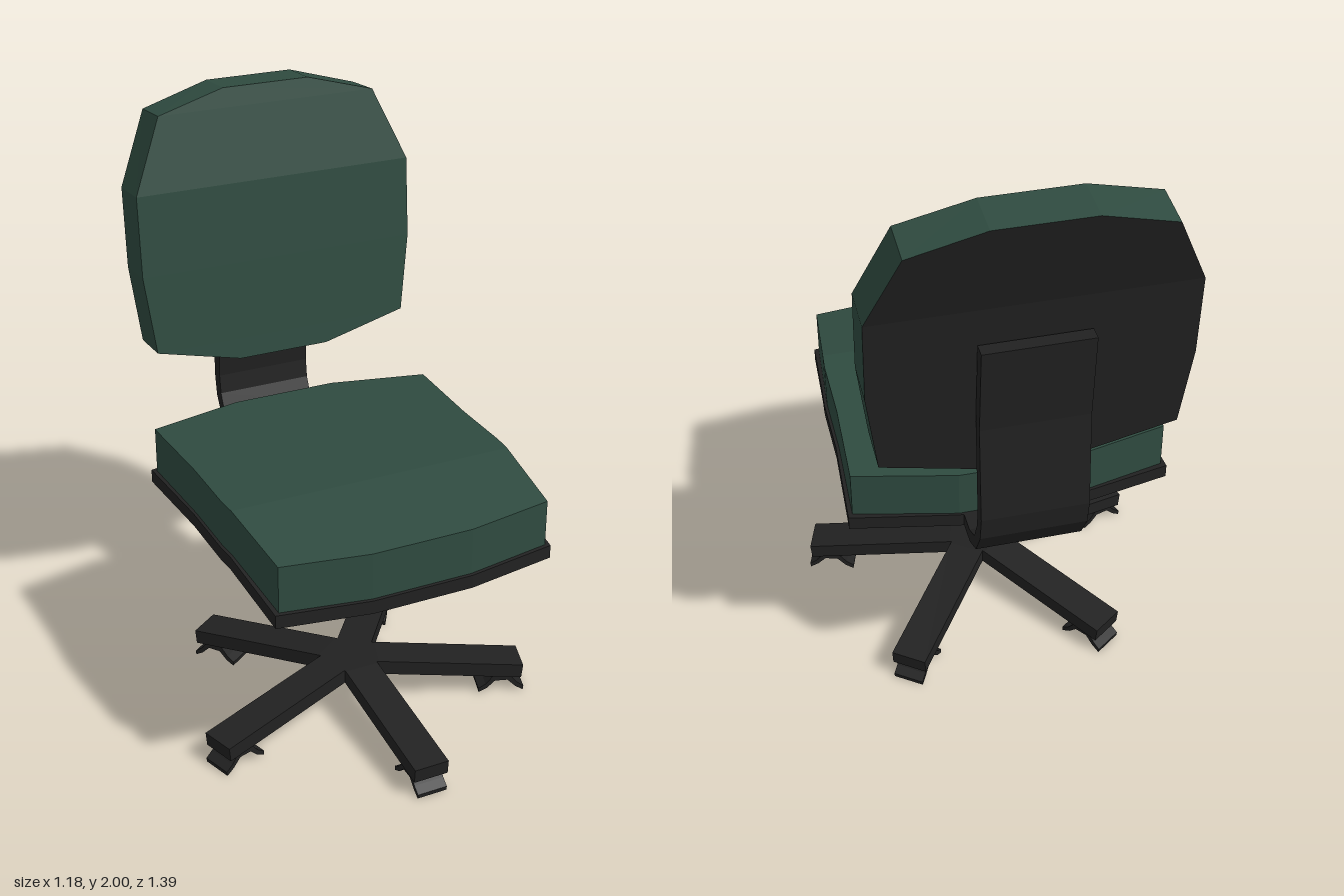
import * as THREE from 'three';

const green = new THREE.MeshStandardMaterial({ color: 0x2f4b40 });
green.name = 'green fabric';
const black = new THREE.MeshStandardMaterial({ color: 0x212121 });
black.name = 'black plastic';

// Flat-faced loft of rectangular sections. Each row is
// [half width, upper z, upper y, lower z, lower y].
// Rows run towards +z, or downwards for upright parts.
function loft(name, rows, material, lowerMaterial = material) {
  const main = [], lower = [];
  const quad = (out, a, b, c, d) => out.push(...a, ...b, ...c, ...a, ...c, ...d);
  const rings = rows.map(([w, zu, yu, zl, yl]) => [[-w, yu, zu], [w, yu, zu], [w, yl, zl], [-w, yl, zl]]);
  for (let i = 0; i < rings.length - 1; i++) {
    for (let k = 0; k < 4; k++) {
      const n = (k + 1) % 4;
      quad(k === 2 ? lower : main, rings[i][k], rings[i + 1][k], rings[i + 1][n], rings[i][n]);
    }
  }
  quad(main, ...rings[0]);
  quad(main, ...rings[rings.length - 1].slice().reverse());
  const geometry = new THREE.BufferGeometry();
  geometry.setAttribute('position', new THREE.Float32BufferAttribute([...main, ...lower], 3));
  geometry.addGroup(0, main.length / 3, 0);
  geometry.addGroup(main.length / 3, lower.length / 3, 1);
  geometry.computeVertexNormals();
  const mesh = new THREE.Mesh(geometry, [material, lowerMaterial]);
  mesh.name = name;
  return mesh;
}

// Seat slabs are level at the back and slope down towards the front edge.
function seatSlab(name, outline, bottom, top, material) {
  const drop = z => Math.max(0, z - 0.265) * 0.15;
  return loft(name, outline.map(([w, z]) => [w, z, top - drop(z), z, bottom - drop(z)]), material);
}

export function createModel() {
  const chair = new THREE.Group();
  chair.name = 'officeChair';

  // Seat
  chair.add(seatSlab('seatPan', [
    [0.18, -0.438], [0.52, -0.37], [0.5, -0.03], [0.5, 0.2], [0.495, 0.265], [0.475, 0.57], [0.17, 0.612],
  ], 0.73, 0.775, black));
  chair.add(seatSlab('seatCushion', [
    [0.18, -0.43], [0.505, -0.355], [0.49, -0.03], [0.49, 0.2], [0.485, 0.265], [0.46, 0.56], [0.17, 0.602],
  ], 0.77, 0.932, green));

  // Backrest with a black rear shell face
  chair.add(loft('backrest', [
    [0.15, -0.545, 2.0, -0.692, 1.99],
    [0.38, -0.53, 1.938, -0.677, 1.925],
    [0.485, -0.475, 1.7, -0.622, 1.69],
    [0.485, -0.455, 1.43, -0.603, 1.42],
    [0.453, -0.436, 1.165, -0.586, 1.155],
    [0.16, -0.43, 1.093, -0.58, 1.083],
  ], green, black));

  // Curved strip joining the backrest to the seat
  chair.add(loft('backSupport', [
    [-0.62, 1.57, -0.665, 1.57],
    [-0.598, 1.28, -0.642, 1.28],
    [-0.618, 0.95, -0.664, 0.95],
    [-0.61, 0.885, -0.65, 0.865],
    [-0.575, 0.81, -0.595, 0.772],
    [-0.51, 0.776, -0.515, 0.73],
    [-0.4, 0.775, -0.4, 0.731],
  ].map(r => [0.167, ...r]), black));

  // Five-legged base with a folded glide under each leg
  const base = new THREE.Group();
  base.name = 'base';
  base.position.z = 0.1;
  for (let i = 0; i < 5; i++) {
    const spoke = new THREE.Group();
    spoke.name = 'spoke';
    spoke.rotation.y = i * Math.PI * 2 / 5;
    spoke.add(loft('leg', [
      [0.06, 0, 0.168, 0, 0.118],
      [0.06, 0.09, 0.168, 0.085, 0.118],
      [0.06, 0.595, 0.108, 0.59, 0.058],
    ], black));
    spoke.add(loft('glide', [
      [-0.08, 0.018, -0.078, 0.003],
      [-0.055, 0.034, -0.05, 0.018],
      [-0.03, 0.064, -0.022, 0.046],
      [0.03, 0.064, 0.022, 0.046],
      [0.055, 0.034, 0.05, 0.018],
      [0.08, 0.015, 0.078, 0],
    ].map(([zu, yu, zl, yl]) => [0.052, 0.522 + zu, yu, 0.522 + zl, yl]), black));
    base.add(spoke);
  }
  chair.add(base);
  return chair;
}
